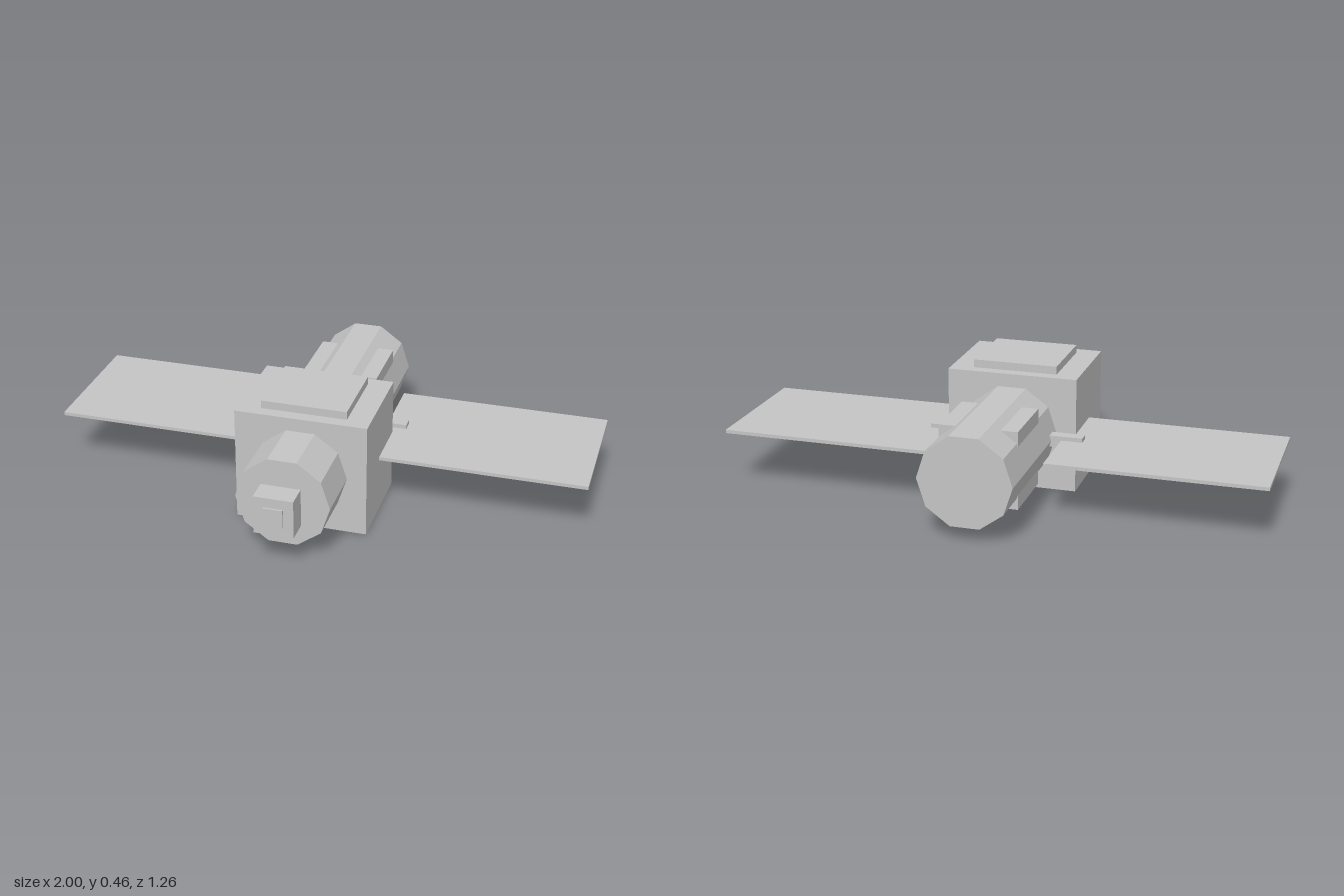
import * as THREE from 'three';

export function createModel() {
  const model = new THREE.Group();
  const hullGrey = new THREE.MeshStandardMaterial({ color: 0xc4c4c4, flatShading: true });
  hullGrey.name = 'hullGrey';

  const cx = -0.003; // hull axis
  const cy = 0.218;

  const add = (name, geometry, x, y, z) => {
    const mesh = new THREE.Mesh(geometry, hullGrey);
    mesh.name = name;
    mesh.position.set(x, y, z);
    model.add(mesh);
    return mesh;
  };
  // Box given by its lower and upper corners
  const box = (name, [x0, y0, z0], [x1, y1, z1]) =>
    add(name, new THREE.BoxGeometry(x1 - x0, y1 - y0, z1 - z0),
      (x0 + x1) / 2, (y0 + y1) / 2, (z0 + z1) / 2);

  // Ten-sided hull running front to back, with a flat on top
  const hull = new THREE.CylinderGeometry(0.172, 0.172, 1.15, 10, 1, false, Math.PI / 2);
  hull.rotateX(Math.PI / 2);
  add('hull', hull, cx, cy, -0.053);

  // Central block with a raised hatch
  box('centralBlock', [cx - 0.244, 0, -0.068], [cx + 0.244, 0.432, 0.307]);
  box('topHatch', [cx - 0.158, 0.432, -0.025], [cx + 0.158, 0.462, 0.262]);

  // Docking block floating just ahead of the hull, with its port plate
  box('dockingBlock', [cx - 0.072, 0.146, 0.538], [cx + 0.072, 0.29, 0.624]);
  box('dockingPort', [cx - 0.035, 0.183, 0.624], [cx + 0.035, 0.253, 0.631]);

  for (const side of [-1, 1]) {
    const label = side > 0 ? 'left' : 'right';
    // Solar panel and the short arm that holds it
    const inner = side > 0 ? 0.208 : 0.212;
    const panel = new THREE.BoxGeometry(1 - inner, 0.013, 0.516);
    add(label + 'SolarPanel', panel, side * (1 + inner) / 2, 0.217, -0.128);
    add(label + 'PanelArm', new THREE.BoxGeometry(0.122, 0.042, 0.042),
      cx + side * 0.227, cy, -0.125);
    // Equipment boxes on the upper and lower hull edges
    for (const up of [-1, 1]) {
      add(label + (up > 0 ? 'Upper' : 'Lower') + 'EquipmentBox',
        new THREE.BoxGeometry(0.062, 0.062, 0.257),
        cx + side * 0.112, cy + up * 0.112, -0.342);
    }
  }
  return model;
}
